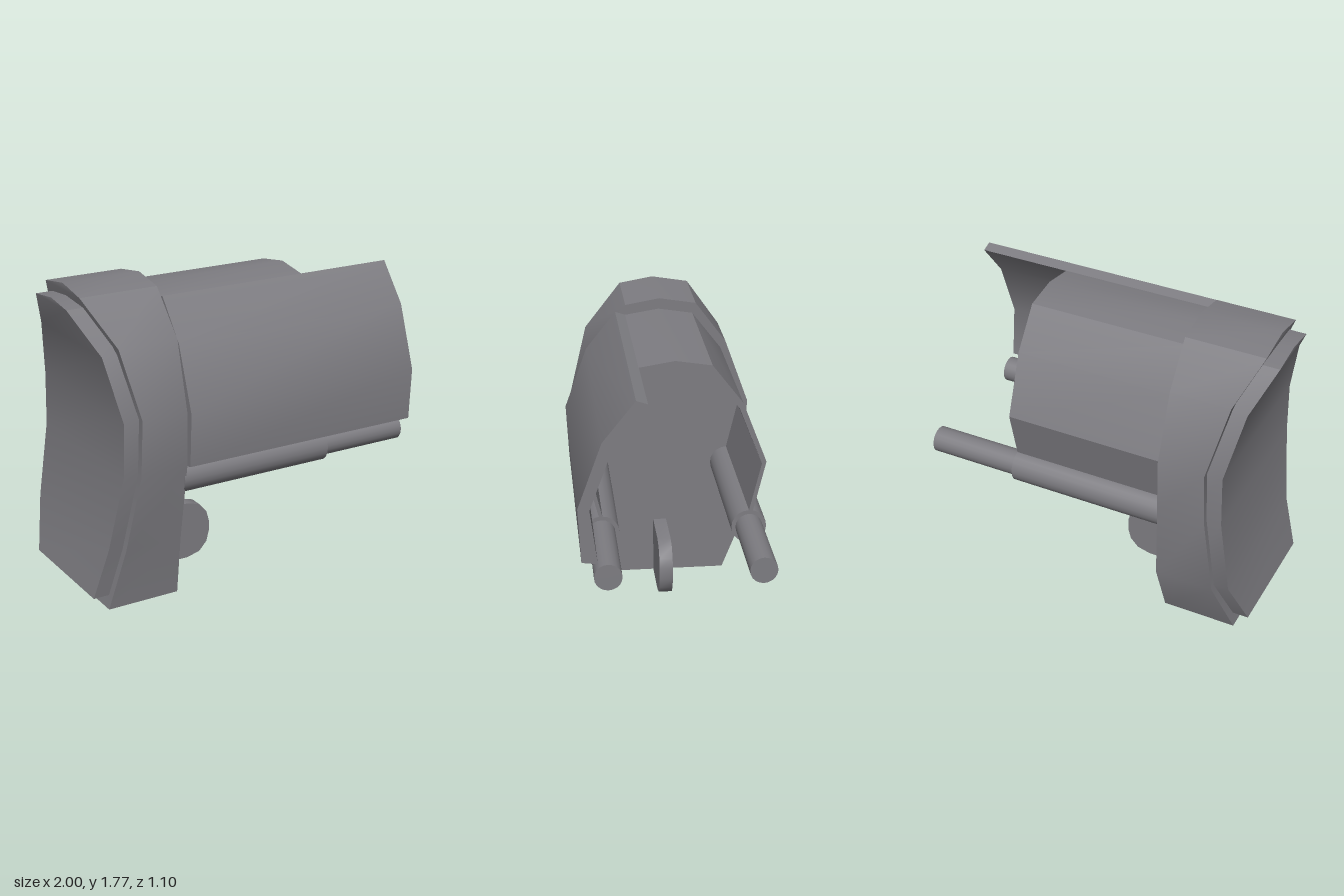
import * as THREE from 'three';
import { toCreasedNormals } from 'three/addons/utils/BufferGeometryUtils.js';

const CREASE = 0.52;
const grey = new THREE.MeshStandardMaterial({ color: 0x7d7c81 });
grey.name = 'grey';

function mesh(name, geometry) {
  const m = new THREE.Mesh(geometry, grey);
  m.name = name;
  return m;
}

// Slab from rows [y, zFront, zBack, xEnd], flat at x0 and dished at xEnd
function dishedSlab(rows, x0) {
  const pos = [];
  const quad = (a, b, c, d) => pos.push(...a, ...b, ...c, ...a, ...c, ...d);
  const pt = (r, side, flat) => [flat ? x0 : r[3], r[0], r[side]];
  for (let i = 0; i < rows.length - 1; i++) {
    const p = rows[i], q = rows[i + 1];
    quad(pt(p, 1, true), pt(p, 2, true), pt(q, 2, true), pt(q, 1, true));
    quad(pt(p, 2), pt(p, 1), pt(q, 1), pt(q, 2));
  }
  // Walls: up the back, down the front, closed along the bottom
  const loop = [...rows.map(r => [r, 2]), ...rows.slice().reverse().map(r => [r, 1])];
  loop.forEach(([r, s], i) => {
    const [n, t] = loop[(i + 1) % loop.length];
    quad(pt(r, s, true), pt(r, s), pt(n, t), pt(n, t, true));
  });
  const g = new THREE.BufferGeometry();
  g.setAttribute('position', new THREE.Float32BufferAttribute(pos, 3));
  return toCreasedNormals(g, CREASE);
}

// Extrude an outline of [z, y] points from x0 to x1
function alongX(points, x0, x1) {
  const shape = new THREE.Shape(points.map(([z, y]) => new THREE.Vector2(-z, y)));
  const g = new THREE.ExtrudeGeometry(shape, { depth: x1 - x0, bevelEnabled: false });
  g.rotateY(Math.PI / 2).translate(x0, 0, 0);
  return toCreasedNormals(g, CREASE);
}

function rod(name, r, x0, x1, z) {
  const g = new THREE.CylinderGeometry(r, r, x1 - x0, 20);
  g.rotateZ(-Math.PI / 2).translate((x0 + x1) / 2, 0.722, z);
  return mesh(name, g);
}

export function createModel() {
  const group = new THREE.Group();
  group.name = 'model';

  // End block with a dished outer face
  group.add(mesh('endBlock', dishedSlab([
    [0, 0.375, -0.41, -0.9],
    [0.35, 0.42, -0.545, -0.81],
    [0.8, 0.5, -0.545, -0.75],
    [1.12, 0.505, -0.548, -0.74],
    [1.5, 0.405, -0.41, -0.82],
    [1.74, 0.185, -0.23, -0.93],
    [1.775, -0.015, -0.015, -0.93],
  ], -0.47)));

  // Raised pad on the dished face
  group.add(mesh('facePad', dishedSlab([
    [0.07, 0.34, -0.38, -0.975],
    [0.36, 0.38, -0.51, -0.895],
    [0.8, 0.46, -0.51, -0.835],
    [1.11, 0.465, -0.51, -0.83],
    [1.46, 0.37, -0.38, -0.9],
    [1.68, 0.17, -0.21, -1],
    [1.705, -0.015, -0.015, -1],
  ], -0.6)));

  // Thin arched shroud
  const outer = [[0.41, 0.81], [0.487, 1.11], [0.36, 1.46], [0.19, 1.68], [-0.01, 1.712],
    [-0.21, 1.68], [-0.38, 1.46], [-0.515, 1.11], [-0.445, 0.81]];
  const inner = [[0.39, 0.81], [0.46, 1.1], [0.34, 1.43], [0.175, 1.637], [-0.01, 1.667],
    [-0.2, 1.637], [-0.36, 1.43], [-0.49, 1.1], [-0.422, 0.81]];
  group.add(mesh('shroud', alongX([...outer, ...inner.reverse()], -0.48, 0.46)));

  // Long curved side plate over the shroud
  group.add(mesh('sidePlate', alongX([
    [0.245, 1.7], [0.42, 1.48], [0.55, 1.12], [0.535, 0.815],
    [0.45, 0.803], [0.488, 1.11], [0.36, 1.46], [0.185, 1.68],
  ], -0.47, 1)));

  // Stepped rods
  for (const [side, z] of [['left', 0.397], ['right', -0.425]]) {
    group.add(rod(side === 'left' ? 'frontSleeve' : 'backSleeve', 0.098, -0.48, 0.46, z));
    group.add(rod(side === 'left' ? 'frontRod' : 'backRod', 0.075, 0.4, 1, z));
  }

  // Rounded tab at the foot
  const tab = new THREE.Shape([[-0.48, 0], [-0.2, 0], [-0.12, 0.022], [-0.072, 0.075],
    [-0.055, 0.14], [-0.055, 0.21], [-0.072, 0.27], [-0.12, 0.325], [-0.2, 0.347],
    [-0.48, 0.347]].map(p => new THREE.Vector2(...p)));
  const tabGeometry = new THREE.ExtrudeGeometry(tab, { depth: 0.08, bevelEnabled: false });
  tabGeometry.translate(0, 0, -0.055);
  group.add(mesh('footTab', toCreasedNormals(tabGeometry, 0.7)));

  return group;
}
